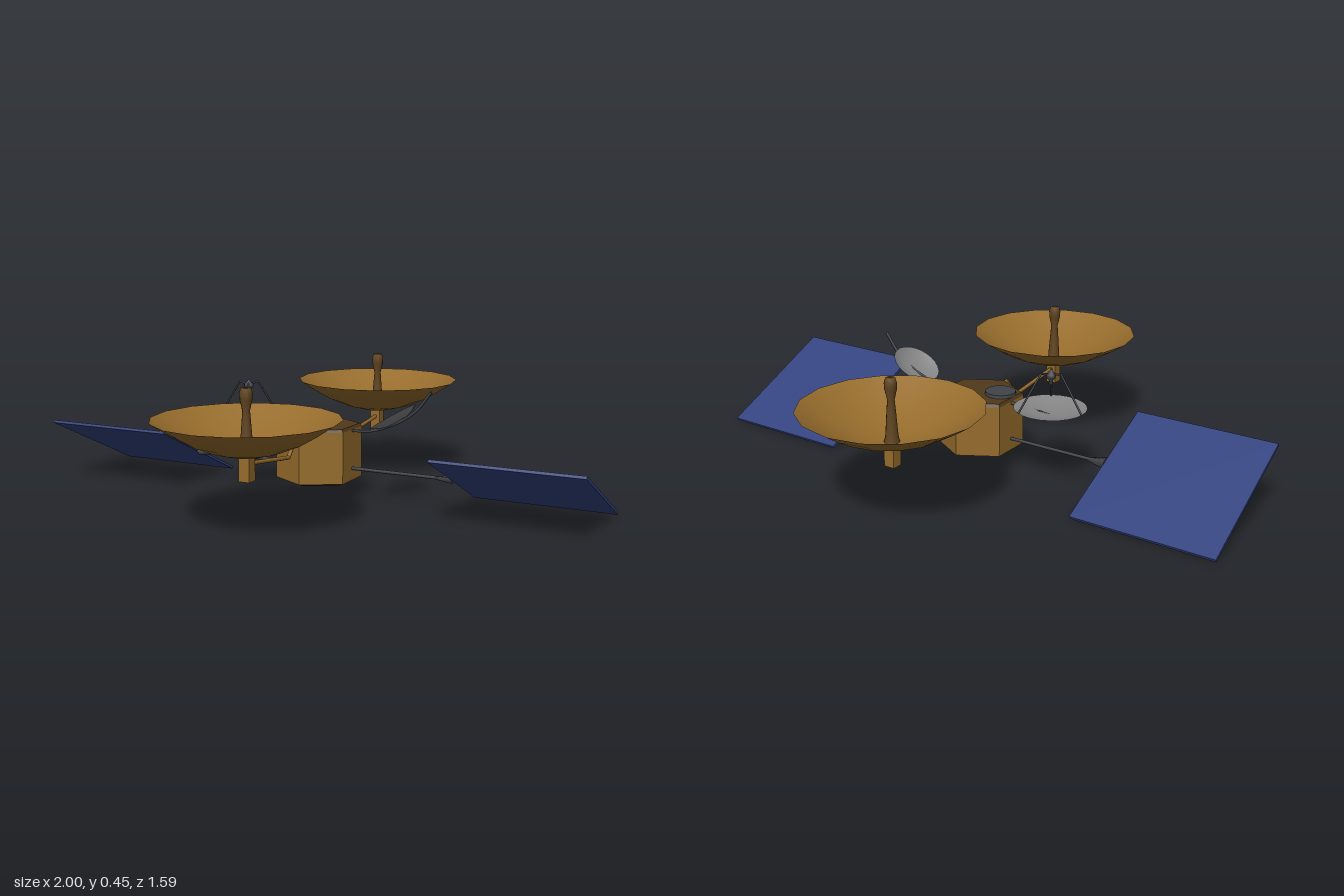
import * as THREE from 'three';

const mat = (color, flat = false) => new THREE.MeshStandardMaterial({ color, flatShading: flat, side: THREE.DoubleSide });
const V = (x, y, z) => new THREE.Vector3(x, y, z);

export function createModel() {
  const model = new THREE.Group();
  const gold = mat(0x966c2c), goldFlat = mat(0x966c2c, true), bronze = mat(0x50391a, true);
  const blue = mat(0x34437f, true), grey = mat(0x858585), dark = mat(0x404347);

  const add = (parent, name, geo, material, x = 0, y = 0, z = 0) => {
    const m = new THREE.Mesh(geo, material);
    m.name = name;
    m.position.set(x, y, z);
    parent.add(m);
    return m;
  };
  const group = (name, x = 0, y = 0, z = 0) => {
    const g = new THREE.Group();
    g.name = name;
    g.position.set(x, y, z);
    model.add(g);
    return g;
  };
  const lathe = (pts, n) => new THREE.LatheGeometry(pts.map(p => new THREE.Vector2(p[0], p[1])), n);
  // Straight round rod between two points
  const rod = (parent, name, a, b, r, material) => {
    const d = b.clone().sub(a);
    const m = add(parent, name, new THREE.CylinderGeometry(r, r, d.length(), 8), material);
    m.position.copy(a).add(b).multiplyScalar(0.5);
    m.quaternion.setFromUnitVectors(V(0, 1, 0), d.normalize());
    return m;
  };

  // Hexagonal body with bevelled caps and a round shallow base
  add(model, 'body', new THREE.CylinderGeometry(0.15, 0.15, 0.18, 6), goldFlat, 0, 0.16, 0);
  add(model, 'bodyTop', new THREE.CylinderGeometry(0.143, 0.15, 0.01, 6), bronze, 0, 0.255, 0);
  add(model, 'bodyBottom', new THREE.CylinderGeometry(0.15, 0.125, 0.01, 6), bronze, 0, 0.066, 0);
  add(model, 'baseShield', lathe([[0.11, 0.065], [0.1, 0.058], [0.06, 0.053], [0, 0.051]], 20), gold);
  add(model, 'topSensor', new THREE.CylinderGeometry(0.053, 0.055, 0.012, 20), dark, -0.07, 0.265, 0.02);

  // Solar panels on a through rod
  rod(model, 'panelRod', V(-0.5, 0.112, 0), V(0.5, 0.112, 0), 0.006, dark);
  for (const s of [-1, 1]) {
    const g = group(s > 0 ? 'leftPanel' : 'rightPanel', 0, 0.112, 0);
    g.rotation.x = -0.445;
    add(g, 'solarPanel', new THREE.BoxGeometry(0.5, 0.01, 0.5), blue, s * 0.75);
    const cone = add(g, 'panelBracket', new THREE.CylinderGeometry(0.009, 0.025, 0.062, 4), dark, s * 0.47);
    cone.rotation.z = s * Math.PI / 2;
    cone.scale.z = 1;
    cone.scale.x = 0.6;
  }

  // Two big dishes, front and back
  const bowl = [[0, 0.238], [0.06, 0.24], [0.12, 0.256], [0.19, 0.285], [0.25, 0.32], [0.303, 0.355]];
  const feed = [[0.026, 0.238], [0.021, 0.26], [0.016, 0.33], [0.012, 0.38], [0.02, 0.415],
    [0.021, 0.435], [0.016, 0.452], [0, 0.452]];
  for (const s of [-1, 1]) {
    const g = group(s > 0 ? 'frontDish' : 'backDish', 0, 0, s * 0.491);
    add(g, 'dishBowl', lathe(bowl, 16), gold);
    add(g, 'dishFeed', lathe(feed, 12), mat(0x604420));
    add(g, 'dishMount', new THREE.BoxGeometry(0.038, 0.082, 0.038), goldFlat, 0, 0.197, 0);
    const pts = [V(0, 0.25, s * 0.13), V(0, 0.25, s * 0.165), V(0, 0.18, s * 0.222), V(0, 0.21, s * 0.475)];
    for (let i = 0; i < 3; i++) rod(model, 'dishArm', pts[i], pts[i + 1], 0.007, gold);
  }

  // Right antenna: shallow dish with a three-legged feed support
  const ant = group('rightAntenna', -0.285, 0, 0);
  add(ant, 'smallDish', lathe([[0, 0.238], [0.045, 0.24], [0.085, 0.248], [0.125, 0.262]], 24), grey);
  for (let i = 0; i < 3; i++) {
    const a = Math.PI + i * Math.PI * 2 / 3, c = Math.cos(a), d = Math.sin(a);
    const top = V(0.038 * c, 0.387, 0.038 * d);
    rod(ant, 'feedLeg', V(0.121 * c, 0.26, 0.121 * d), top, 0.0035, dark);
    rod(ant, 'feedSpoke', top, V(0, 0.378, 0), 0.0035, dark);
  }
  add(ant, 'feedHorn', lathe([[0, 0.34], [0.008, 0.345], [0.007, 0.36], [0.017, 0.37], [0.017, 0.38],
    [0.006, 0.39], [0, 0.4]], 10), dark);
  rod(model, 'antennaArm', V(-0.12, 0.245, 0), V(-0.285, 0.233, 0), 0.006, dark);

  // Left antenna: tilted dish carried by a curved boom
  const tilt = group('leftAntenna', 0.288, 0.297, 0);
  tilt.rotation.z = 0.56;
  add(tilt, 'tiltedDish', lathe([[0, -0.012], [0.035, -0.01], [0.065, -0.002], [0.088, 0.012]], 24), grey);
  const boom = new THREE.CatmullRomCurve3([V(0.12, 0.245, 0), V(0.2, 0.25, 0), V(0.29, 0.282, 0),
    V(0.365, 0.332, 0), V(0.418, 0.4, 0)]);
  add(model, 'curvedBoom', new THREE.TubeGeometry(boom, 20, 0.005, 6), dark);

  return model;
}
